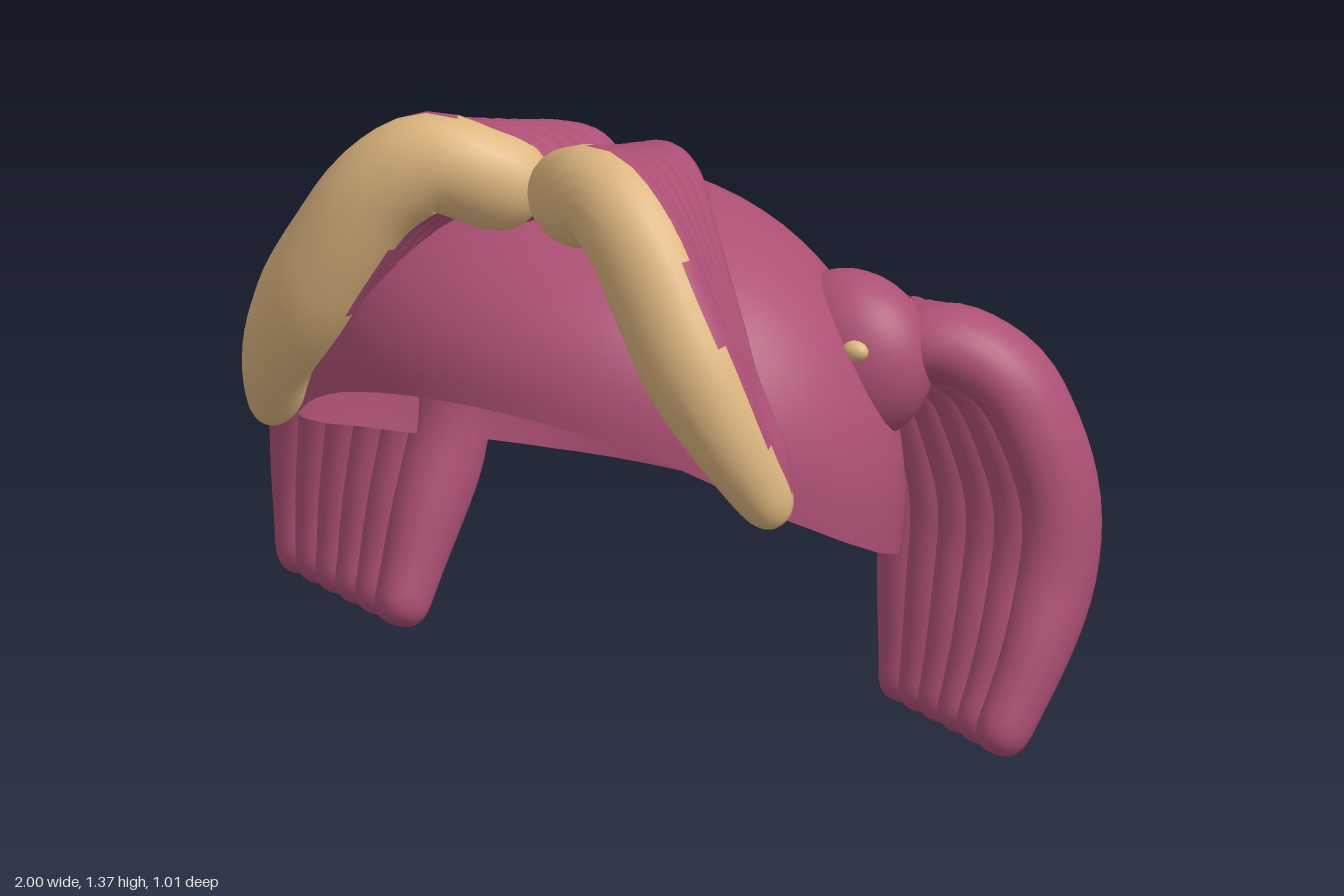
import * as THREE from 'three';

const V = (p) => new THREE.Vector3(...p);

// Closed strand swept along a path, elliptical section, rounded ends.
// ra: radius sideways, rb: radius towards z, each given as [start, end].
// Faces behind backLimit(u) go to a second material group.
function strand(points, ra, rb, endSize, backLimit = () => -2) {
  const curve = new THREE.CatmullRomCurve3(points.map(V));
  const rings = 44, sides = 24, pos = [], front = [], back = [];
  for (let i = 0; i <= rings; i++) {
    const u = 0.5 - 0.5 * Math.cos(Math.PI * i / rings);
    const edge = Math.min(1, Math.min(u, 1 - u) / endSize);
    const f = Math.max(0.001, Math.pow(1 - Math.pow(1 - edge, 2.6), 1 / 2.6));
    const taper = THREE.MathUtils.smoothstep(u, 0.6, 1);
    const sa = THREE.MathUtils.lerp(ra[0], ra[1], taper) * f;
    const sb = THREE.MathUtils.lerp(rb[0], rb[1], taper) * f;
    const c = curve.getPointAt(u), t = curve.getTangentAt(u);
    const b = new THREE.Vector3(0, 0, 1).addScaledVector(t, -t.z).normalize();
    const a = new THREE.Vector3().crossVectors(b, t).normalize();
    for (let j = 0; j < sides; j++) {
      const w = j / sides * Math.PI * 2;
      const p = c.clone().addScaledVector(a, Math.cos(w) * sa).addScaledVector(b, Math.sin(w) * sb);
      pos.push(p.x, p.y, p.z);
      if (i < rings) {
        const k = i * sides + j, n = i * sides + (j + 1) % sides;
        const list = Math.sin(w + Math.PI / sides) < backLimit(u) ? back : front;
        list.push(k, k + sides, n, n, k + sides, n + sides);
      }
    }
  }
  const g = build(pos, front.concat(back));
  if (back.length) {
    g.addGroup(0, front.length, 0);
    g.addGroup(front.length, back.length, 1);
  }
  return g;
}

function build(pos, index) {
  const g = new THREE.BufferGeometry();
  g.setAttribute('position', new THREE.Float32BufferAttribute(pos, 3));
  g.setIndex(index);
  g.computeVertexNormals();
  return g;
}

// Height of the cap's rim for a given z: high at the forehead, low at the nape.
const rim = [[-0.52, 0.32], [-0.42, 0.335], [-0.22, 0.38], [0, 0.46], [0.12, 0.515],
  [0.27, 0.6], [0.42, 0.73], [0.52, 0.81]];
function rimHeight(z) {
  let i = 0;
  while (i < rim.length - 2 && z > rim[i + 1][0]) i++;
  const [z0, y0] = rim[i], [z1, y1] = rim[i + 1];
  return y0 + (y1 - y0) * (z - z0) / (z1 - z0);
}

// Open bowl between the crown and the slanted rim, drawn in slightly at the nape.
function capGeometry() {
  const rows = 24, cols = 64, pos = [], index = [];
  for (let i = 0; i <= rows; i++) {
    const a = i / rows * Math.PI / 2;
    const h = Math.pow(Math.max(0, Math.cos(a)), 0.85);
    for (let j = 0; j < cols; j++) {
      const w = j / cols * Math.PI * 2;
      const nape = (1 - Math.cos(w)) / 2;
      const r = Math.pow(Math.sin(a), 0.85) * (1 - 0.05 * nape * Math.pow(1 - h, 5));
      const y0 = rimHeight(0.51 * Math.cos(w)) - 0.03 * nape * Math.sin(w);
      pos.push(0.682 * r * Math.sin(w), y0 + (1.14 - y0) * h, 0.51 * r * Math.cos(w) - 0.004 - 0.03 * h);
      if (i < rows) {
        const k = i * cols + j, n = i * cols + (j + 1) % cols;
        index.push(k, k + cols, n, n, k + cols, n + cols);
      }
    }
  }
  return build(pos, index);
}

const blend = (A, B, f) => A.map((p, i) => p.map((v, k) => v + (B[i][k] - v) * f));

// Fringe: front strand path and rearmost strand path
const fringeFront = [[0.03, 1.165, 0.2], [0.11, 1.215, 0.275], [0.21, 1.25, 0.335], [0.31, 1.185, 0.375],
  [0.4, 1.05, 0.4], [0.48, 0.91, 0.405], [0.555, 0.765, 0.375], [0.612, 0.6, 0.29]];
const fringeBack = [[0.04, 1.1, -0.11], [0.1, 1.155, -0.04], [0.19, 1.17, 0.06], [0.285, 1.115, 0.16],
  [0.38, 1.01, 0.24], [0.475, 0.89, 0.305], [0.55, 0.78, 0.315], [0.595, 0.67, 0.28]];

// Side tails: innermost and outermost paths, with the ends of each side turned differently
const innerTop = [[0.54, 0.8, -0.2], [0.5, 0.8, -0.29], [0.51, 0.72, -0.33], [0.54, 0.6, -0.34],
  [0.565, 0.48, -0.34]];
const outerTop = [[0.6, 0.825, -0.21], [0.71, 0.835, -0.25], [0.815, 0.775, -0.285], [0.875, 0.66, -0.31],
  [0.912, 0.5, -0.33]];
const tails = {
  left: [
    [...innerTop, [0.57, 0.35, -0.335], [0.575, 0.19, -0.3], [0.58, 0.015, -0.26]],
    [...outerTop, [0.915, 0.35, -0.31], [0.91, 0.19, -0.23], [0.88, 0.002, -0.12]],
  ],
  right: [
    [...innerTop, [0.57, 0.35, -0.315], [0.575, 0.19, -0.235], [0.58, 0.002, -0.135]],
    [...outerTop, [0.915, 0.35, -0.345], [0.91, 0.19, -0.32], [0.885, 0.015, -0.27]],
  ],
};

export function createModel() {
  const hair = new THREE.MeshStandardMaterial({ color: 0xad5075, side: THREE.DoubleSide });
  hair.name = 'rose hair';
  const tan = new THREE.MeshStandardMaterial({ color: 0xdeb780, side: THREE.DoubleSide });
  tan.name = 'tan highlight';

  const model = new THREE.Group();
  model.name = 'hairpiece';
  const add = (parent, name, geometry, material) => {
    const mesh = new THREE.Mesh(geometry, material);
    mesh.name = name;
    parent.add(mesh);
    return mesh;
  };
  const ball = (parent, name, material, at, size) => {
    const m = add(parent, name, new THREE.SphereGeometry(1, 32, 20), material);
    m.position.set(...at);
    m.scale.set(...size);
  };

  add(model, 'cap', capGeometry(), hair);

  for (const [key, s] of [['left', 1], ['right', -1]]) {
    const side = new THREE.Group();
    side.name = key + 'Side';
    side.scale.x = s;
    model.add(side);

    // Fringe: front roll, tan on its front face, with rose strands behind it
    add(side, 'fringeFrontRoll', strand(fringeFront, [0.108, 0.055], [0.094, 0.07], 0.11,
      (u) => 0.65 * Math.sin(Math.PI * u) - 0.5), [tan, hair]);
    for (let k = 1; k < 6; k++) {
      const f = k / 5;
      add(side, 'fringeStrand',
        strand(blend(fringeFront, fringeBack, f), [0.103 - 0.025 * f, 0.055], [0.09, 0.068], 0.11), hair);
    }

    // Bun where the tail is tied, with the tie just showing
    ball(side, 'bun', hair, [0.515, 0.807, -0.15], [0.185, 0.185, 0.143]);
    ball(side, 'tieFront', tan, [0.595, 0.868, -0.036], [0.03, 0.022, 0.02]);
    ball(side, 'tieBack', tan, [0.54, 0.895, -0.285], [0.045, 0.012, 0.011]);

    // Tail of six strands
    const [inner, outer] = tails[key];
    for (let k = 0; k < 6; k++) {
      add(side, 'tailStrand', strand(blend(inner, outer, k / 5), [0.084, 0.057], [0.1, 0.062], 0.07), hair);
    }
  }
  return model;
}
